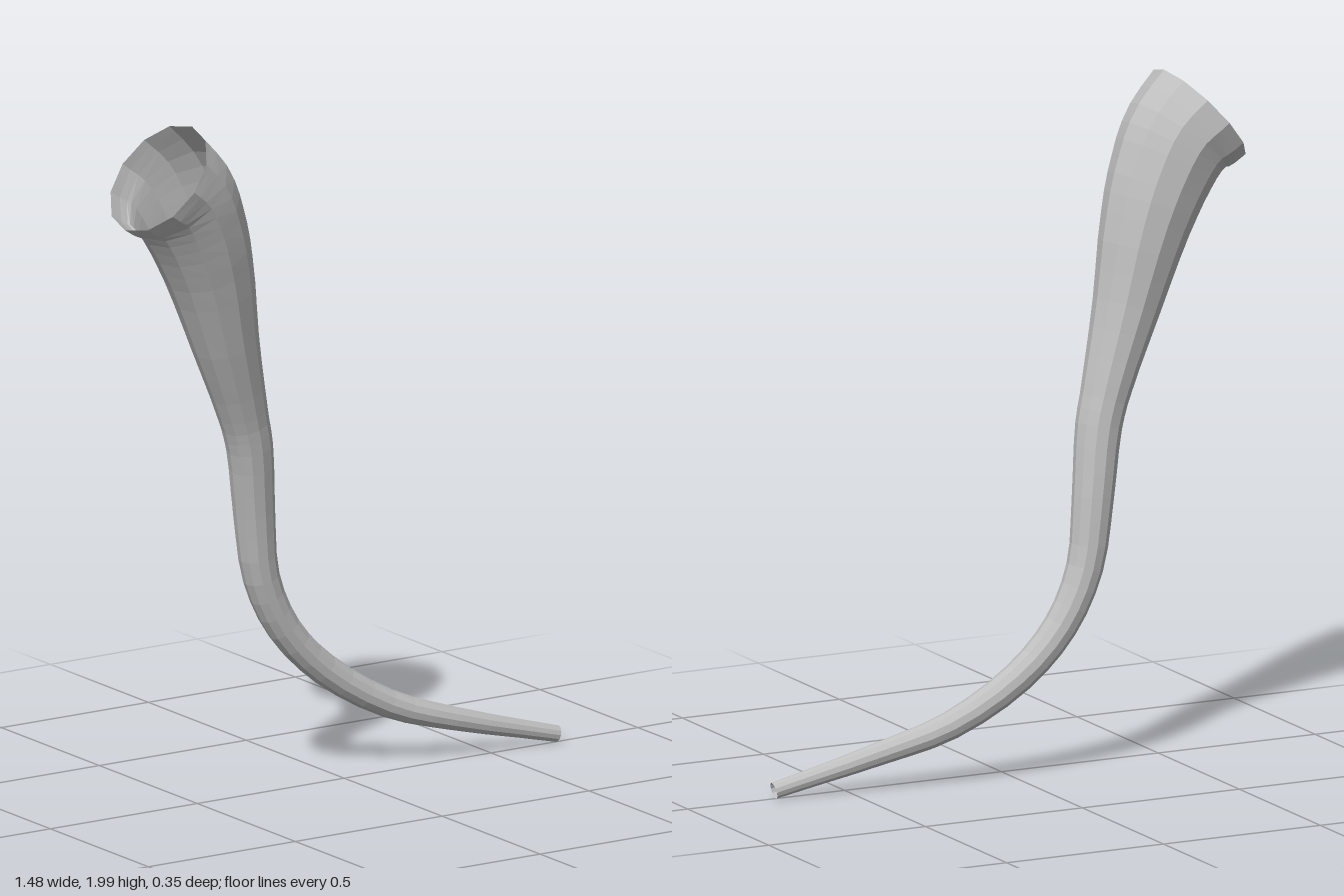
import * as THREE from 'three';

// Centre line and radius from the narrow tip to the wide mouth: x, y, z, radius
const STATIONS = [
  [0.725, 0.028, 0.0, 0.024],
  [0.4, 0.112, -0.04, 0.034],
  [0.2, 0.178, -0.076, 0.041],
  [0.0, 0.303, -0.105, 0.046],
  [-0.13, 0.44, -0.114, 0.049],
  [-0.207, 0.6, -0.113, 0.053],
  [-0.24, 0.8, -0.1, 0.06],
  [-0.27, 1.0, -0.078, 0.067],
  [-0.302, 1.11, -0.067, 0.073],
  [-0.377, 1.33, -0.042, 0.098],
  [-0.448, 1.56, -0.022, 0.13],
  [-0.505, 1.7, -0.01, 0.149],
  [-0.562, 1.798, -0.003, 0.163],
  [-0.632, 1.857, 0.0, 0.177],
];
const SIDES = 12;
const STEPS = 39;

// Open tube whose radius changes along the path
function sweptTube() {
  const path = new THREE.CatmullRomCurve3(STATIONS.map(([x, y, z]) => new THREE.Vector3(x, y, z)));
  const radii = new THREE.SplineCurve(STATIONS.map((s, i) => new THREE.Vector2(i, s[3])));
  const positions = [];
  const indices = [];
  for (let i = 0; i <= STEPS; i++) {
    const t = i / STEPS;
    const centre = path.getPoint(t);
    const radius = radii.getPoint(t).y;
    const tangent = path.getTangent(t);
    // The ring keeps one corner in the plane of the bend
    const side = new THREE.Vector3(0, 0, 1).addScaledVector(tangent, -tangent.z).normalize();
    const out = new THREE.Vector3().crossVectors(side, tangent);
    for (let j = 0; j < SIDES; j++) {
      const a = (j / SIDES) * Math.PI * 2;
      const p = centre.clone()
        .addScaledVector(out, Math.cos(a) * radius)
        .addScaledVector(side, Math.sin(a) * radius);
      positions.push(p.x, p.y, p.z);
      if (i < STEPS) {
        const k = (j + 1) % SIDES;
        const r0 = i * SIDES;
        const r1 = r0 + SIDES;
        indices.push(r0 + j, r0 + k, r1 + j, r0 + k, r1 + k, r1 + j);
      }
    }
  }
  const geometry = new THREE.BufferGeometry();
  geometry.setAttribute('position', new THREE.Float32BufferAttribute(positions, 3));
  geometry.setIndex(indices);
  geometry.computeVertexNormals();
  return geometry;
}

export function createModel() {
  const group = new THREE.Group();
  group.name = 'curvedHorn';
  const hornGrey = new THREE.MeshStandardMaterial({
    color: 0xbfbfbf, flatShading: true, side: THREE.DoubleSide,
  });
  hornGrey.name = 'horn grey';

  // Thin-walled horn, open at both ends
  const horn = new THREE.Mesh(sweptTube(), hornGrey);
  horn.name = 'hornBody';
  group.add(horn);
  return group;
}
